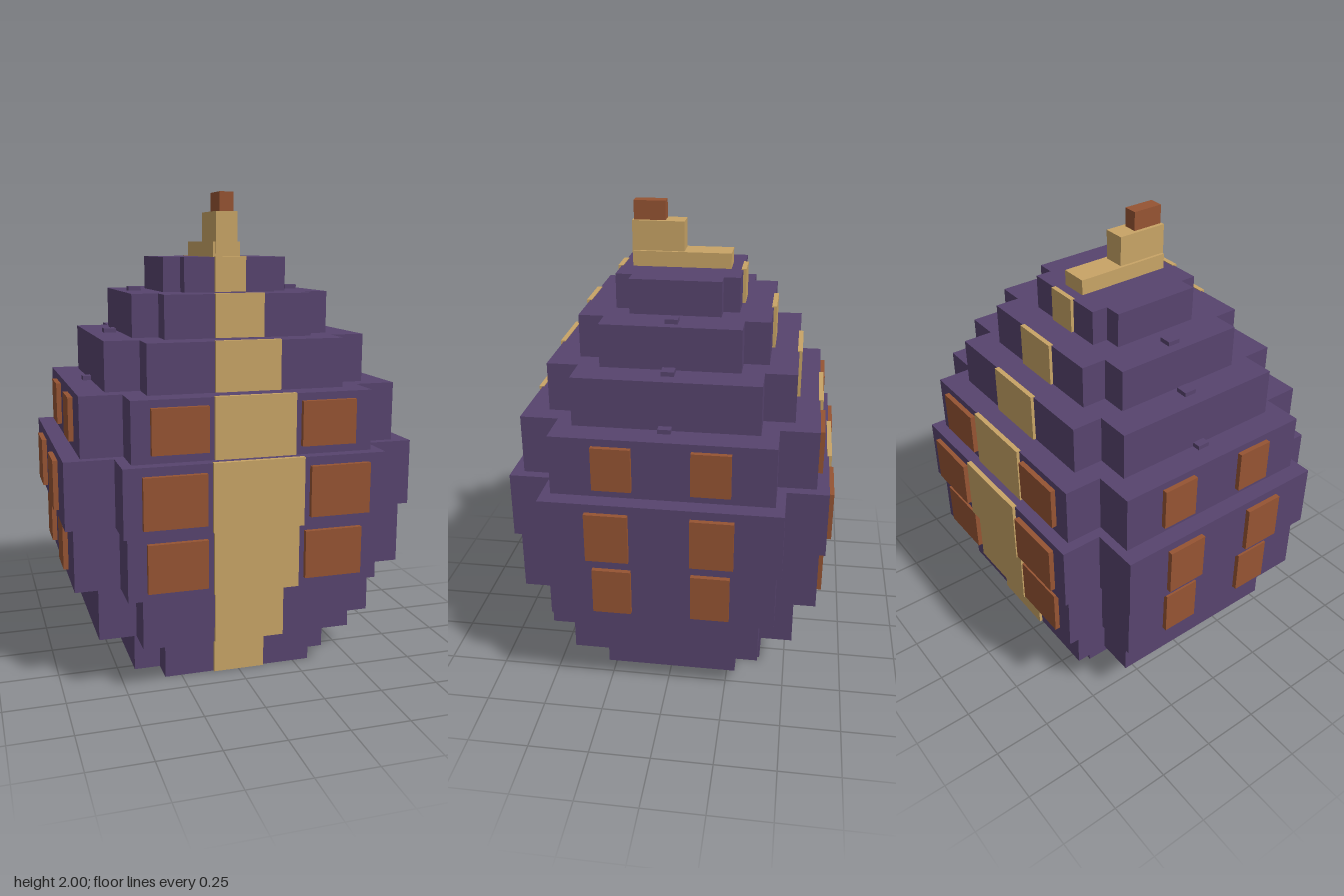
import * as THREE from 'three';

// One entry per tier: bottom, top, outer/inner half width (x), outer/inner half depth (z), band half width
const TIERS = [
  [0.00, 0.20, 0.43, 0.32, 0.390, 0.285, 0.110],
  [0.20, 0.44, 0.595, 0.44, 0.530, 0.390, 0.145],
  [0.44, 0.70, 0.697, 0.515, 0.620, 0.455, 0.175],
  [0.70, 0.975, 0.73, 0.533, 0.645, 0.477, 0.185],
  [0.975, 1.22, 0.66, 0.49, 0.595, 0.440, 0.165],
  [1.22, 1.42, 0.547, 0.405, 0.497, 0.370, 0.135],
  [1.42, 1.595, 0.417, 0.308, 0.383, 0.280, 0.102],
  [1.595, 1.737, 0.265, 0.193, 0.252, 0.185, 0.066],
];

// Raised panels per tier: y range, x range on front/back, z range on the sides
const PANELS = {
  2: [0.475, 0.67, 0.20, 0.44, 0.12, 0.275],
  3: [0.735, 0.94, 0.21, 0.46, 0.12, 0.29],
  4: [1.01, 1.19, 0.19, 0.415, 0.115, 0.27],
};

export function createModel() {
  const model = new THREE.Group();
  model.name = 'steppedEgg';
  const material = (name, color) => {
    const m = new THREE.MeshStandardMaterial({ color });
    m.name = name;
    return m;
  };
  const purple = material('purple shell', 0x57446e);
  const gold = material('gold band', 0xc8a466);
  const brown = material('brown panel', 0x965433);

  // Box given by its limits on each axis
  const box = (name, mat, x0, x1, y0, y1, z0, z1) => {
    const mesh = new THREE.Mesh(new THREE.BoxGeometry(x1 - x0, y1 - y0, z1 - z0), mat);
    mesh.position.set((x0 + x1) / 2, (y0 + y1) / 2, (z0 + z1) / 2);
    mesh.name = name;
    model.add(mesh);
  };

  // Plan with notched corners
  const tierShape = (a, b, c, d) => new THREE.Shape([
    [a, -d], [a, d], [b, d], [b, c], [-b, c], [-b, d],
    [-a, d], [-a, -d], [-b, -d], [-b, -c], [b, -c], [b, -d],
  ].map(([x, y]) => new THREE.Vector2(x, y)));

  TIERS.forEach(([y0, y1, a, b, c, d, w], i) => {
    const geometry = new THREE.ExtrudeGeometry(tierShape(a, b, c, d), { depth: y1 - y0, bevelEnabled: false });
    geometry.rotateX(-Math.PI / 2);
    const tier = new THREE.Mesh(geometry, purple);
    tier.position.y = y0;
    tier.name = 'shellTier' + (i + 1);
    model.add(tier);

    for (const s of [-1, 1]) {
      // Band on front and back
      const zc = s * (c + 0.003);
      box('band', gold, -w, w, y0 + 0.002, y1 + 0.003, zc - 0.01, zc + 0.01);

      // Panels beside the band and on the flanks
      const p = PANELS[i];
      if (!p) continue;
      for (const t of [-1, 1]) {
        const xc = t * (p[2] + p[3]) / 2, hx = (p[3] - p[2]) / 2;
        const pz = s * (c + 0.0085);
        box('facePanel', brown, xc - hx, xc + hx, p[0], p[1], pz - 0.0125, pz + 0.0125);
        const sz = t * (p[4] + p[5]) / 2, hz = (p[5] - p[4]) / 2;
        const px = s * (a + 0.008);
        box('sidePanel', brown, px - 0.0125, px + 0.0125, p[0], p[1], sz - hz, sz + hz);
      }
    }
  });

  // Small studs on the side ledges
  for (const s of [-1, 1]) {
    for (const [x, y] of [[0.555, 1.22], [0.461, 1.42], [0.352, 1.595]]) {
      box('stud', purple, s * x - 0.026, s * x + 0.026, y - 0.02, y + 0.018, -0.026, 0.026);
    }
  }

  // Stepped crest on top
  box('crestBase', gold, -0.058, 0.058, 1.735, 1.80, -0.203, 0.203);
  box('crestStep', gold, -0.046, 0.046, 1.75, 1.922, -0.008, 0.208);
  box('crestTip', brown, -0.03, 0.03, 1.92, 2.0, 0.072, 0.203);

  return model;
}
